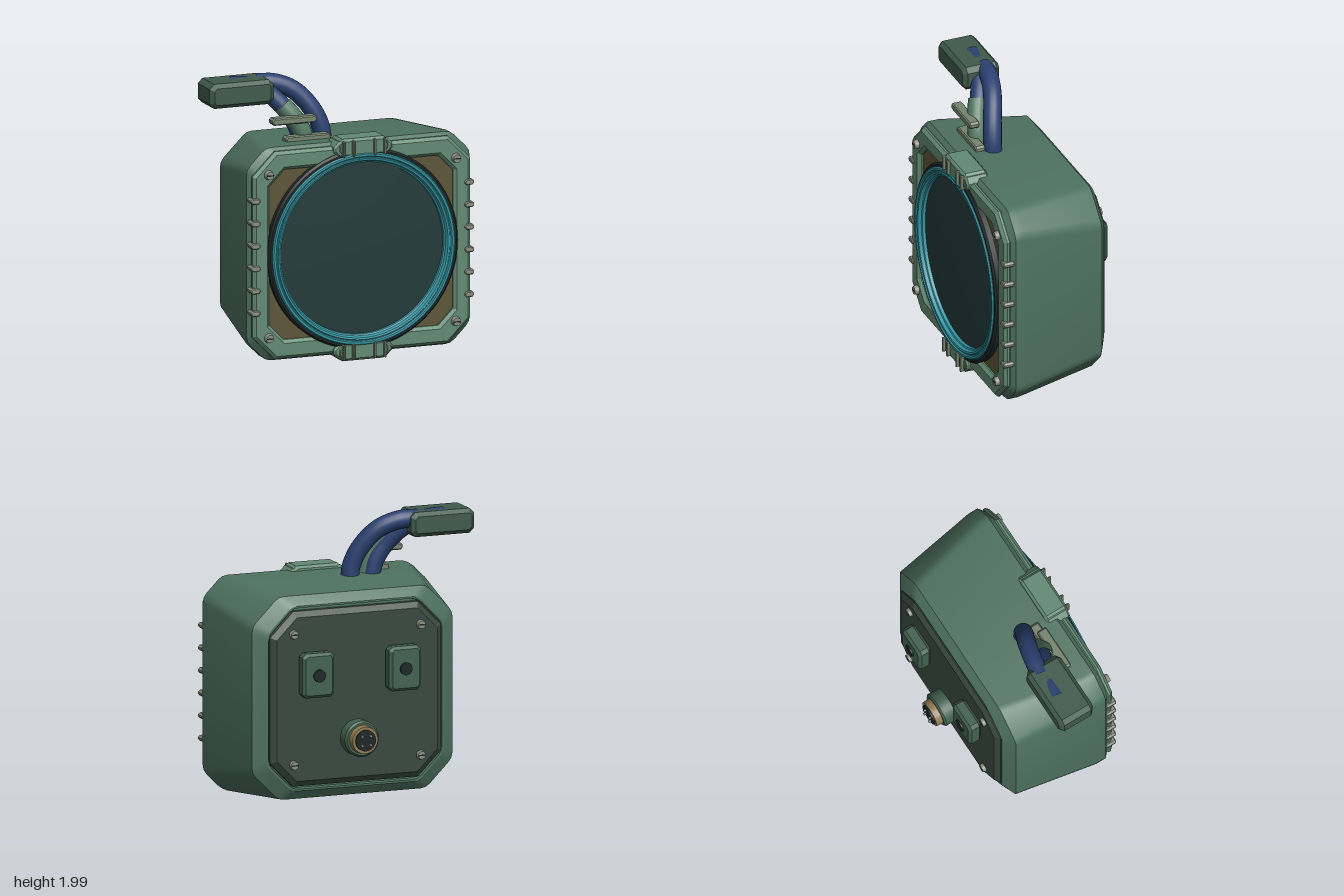
import * as THREE from 'three';
import { toCreasedNormals } from 'three/addons/utils/BufferGeometryUtils.js';

const mat = color => new THREE.MeshStandardMaterial({ color });
const M = {
  body: mat(0x4e7260), frame: mat(0x628a73), panel: mat(0x38483f), plug: mat(0x3f5a4b), socket: mat(0x42614f),
  sleeve: mat(0x557a65), lens: mat(0x223a38), cyan: mat(0x3396a3), black: mat(0x1c2625), brown: mat(0x5c5539),
  blue: mat(0x2a406f), metal: mat(0x8a9080), bar: mat(0x75856f), brass: mat(0x8f7c52),
};

function add(parent, name, geometry, material, x = 0, y = 0, z = 0) {
  const mesh = new THREE.Mesh(geometry, material);
  mesh.name = name;
  mesh.position.set(x, y, z);
  parent.add(mesh);
  return mesh;
}

// Corners of a rectangle with cut corners, half sizes w and h, cut c, counter-clockwise
const octagon = (w, h, c) => [
  [w, -h + c], [w, h - c], [w - c, h], [-w + c, h], [-w, h - c], [-w, -h + c], [-w + c, -h], [w - c, -h],
].map(([x, y]) => new THREE.Vector2(x, y));

// Softens every corner of an outline with three points, starting r away from the corner
const soften = (pts, r) => pts.flatMap((p, i) => {
  const toward = q => p.clone().add(q.clone().sub(p).setLength(r));
  const a = toward(pts[(i + pts.length - 1) % pts.length]), b = toward(pts[(i + 1) % pts.length]);
  return [a, new THREE.QuadraticBezierCurve(a, p, b).getPoint(0.5), b];
});

// Skin through softened octagon sections [w, h, c, z] ordered front to back, closed at the back
function loft(sections) {
  const pos = [];
  const rings = sections.map(([w, h, c, z]) => soften(octagon(w, h, c), 0.04).map(p => [p.x, p.y, z]));
  const n = rings[0].length;
  for (let s = 0; s < rings.length - 1; s++) {
    for (let i = 0; i < n; i++) {
      const j = (i + 1) % n, a = rings[s][i], b = rings[s][j], c = rings[s + 1][j], d = rings[s + 1][i];
      pos.push(...a, ...d, ...c, ...a, ...c, ...b);
    }
  }
  const last = rings[rings.length - 1];
  for (let i = 1; i < n - 1; i++) pos.push(...last[0], ...last[i + 1], ...last[i]);
  const g = new THREE.BufferGeometry();
  g.setAttribute('position', new THREE.Float32BufferAttribute(pos, 3));
  return toCreasedNormals(g, 0.45);
}

// Plate with cut corners and bevelled faces (b wide, t deep), centred; hole = [w, h, c] half sizes
function plate(w, h, d, c, b, { t = b, hole } = {}) {
  const shape = new THREE.Shape(octagon(w / 2 - b, h / 2 - b, c));
  if (hole) shape.holes.push(new THREE.Path(octagon(hole[0] + b, hole[1] + b, hole[2]).reverse()));
  return new THREE.ExtrudeGeometry(shape, {
    depth: d - 2 * t, bevelEnabled: true, bevelSize: b, bevelThickness: t, bevelSegments: 1,
  }).translate(0, 0, -d / 2 + t);
}

// Cylinder lying along z, with front radius r and back radius r2
const disc = (r, d, n = 24, r2 = r) => new THREE.CylinderGeometry(r, r2, d, n).rotateX(Math.PI / 2);

// Profile of [radius, z] points turned around the z axis, with sharp steps
const turned = pts => toCreasedNormals(
  new THREE.LatheGeometry(pts.map(p => new THREE.Vector2(...p)), 96).rotateX(Math.PI / 2), 0.4);

const tube = (pts, r) => new THREE.TubeGeometry(
  new THREE.CatmullRomCurve3(pts.map(p => new THREE.Vector3(...p))), 40, r, 18);

function screw(parent, name, x, y, z, facing) {
  const g = new THREE.Group();
  g.name = name;
  g.position.set(x, y, z);
  if (facing < 0) g.rotation.y = Math.PI;
  add(g, 'screwHead', disc(0.028, 0.04, 20, 0.036), M.metal);
  add(g, 'screwSlot', new THREE.BoxGeometry(0.05, 0.009, 0.004), M.black, 0, 0, 0.02);
  parent.add(g);
}

function buildHousing() {
  const g = new THREE.Group();
  g.name = 'housing';
  g.position.set(0.087, 0.798, 0);

  // Tapered shell with a recessed back
  add(g, 'shell', loft([
    [0.8, 0.722, 0.14, 0.445], [0.838, 0.759, 0.145, 0.405], [0.838, 0.759, 0.145, 0.33], [0.757, 0.72, 0.2, -0.28],
    [0.668, 0.655, 0.19, -0.335], [0.655, 0.642, 0.185, -0.335], [0.65, 0.637, 0.185, -0.3],
  ]), M.body);
  add(g, 'backPanel', plate(1.29, 1.24, 0.1, 0.15, 0.04, { t: 0.03 }), M.panel, 0, 0, -0.318);

  // Front frame and recessed backing
  add(g, 'frontFrame', plate(1.635, 1.48, 0.06, 0.155, 0.022, { hole: [0.69, 0.607, 0.125] }), M.frame, 0, 0, 0.452);
  add(g, 'backingPlate', new THREE.BoxGeometry(1.45, 1.28, 0.02), M.brown, 0, 0, 0.438);

  // Round window
  add(g, 'gasket', turned([
    [0.67, 0.43], [0.71, 0.43], [0.714, 0.49], [0.7, 0.505], [0.67, 0.505],
  ]), M.black);
  add(g, 'bezel', turned([
    [0.685, 0.46], [0.685, 0.508], [0.677, 0.518], [0.662, 0.518], [0.655, 0.508], [0.65, 0.508],
    [0.645, 0.515], [0.632, 0.512], [0.622, 0.49], [0.612, 0.485], [0.61, 0.45],
  ]), M.cyan);
  add(g, 'lens', turned([[0.615, 0.463], [0.4, 0.469], [0.2, 0.473], [0, 0.475]]), M.lens);

  // Screws at the front and back corners
  for (const sx of [-1, 1]) for (const sy of [-1, 1]) {
    screw(g, 'frontScrew', sx * 0.702, sy * 0.582, 0.493, 1);
    screw(g, 'backScrew', sx * 0.48, sy * 0.463, -0.373, -1);
  }

  // Clips wrapping the side edges
  for (const sx of [-1, 1]) for (let i = 0; i < 6; i++) {
    add(g, 'sideClip', plate(0.07, 0.04, 0.08, 0.01, 0.006), M.metal, sx * 0.803, 0.402 - i * 0.16, 0.455);
  }

  // Top and bottom latches with ribs
  for (const sy of [-1, 1]) {
    const latch = new THREE.Group();
    latch.name = sy > 0 ? 'topLatch' : 'bottomLatch';
    if (sy < 0) latch.rotation.z = Math.PI;
    add(latch, 'latchWing', plate(0.44, 0.11, 0.172, 0.03, 0.014), M.frame, 0, 0.72, 0.42);
    add(latch, 'latchBlock', plate(0.39, 0.13, 0.178, 0.03, 0.018), M.frame, 0, 0.727, 0.422);
    for (const x of [-0.155, -0.08, 0.08, 0.155]) {
      add(latch, 'latchRib', plate(0.016, 0.115, 0.03, 0.004, 0.003), M.bar, x, 0.725, 0.519);
    }
    g.add(latch);
  }

  // Rear sockets
  for (const sx of [-1, 1]) {
    add(g, 'rearSocket', plate(0.24, 0.315, 0.1, 0.015, 0.02), M.socket, sx * 0.327, 0.177, -0.416);
    add(g, 'socketHole', disc(0.045, 0.02), M.black, sx * 0.327, 0.177, -0.468);
  }

  // Rear pin connector
  const c = new THREE.Group();
  c.name = 'rearConnector';
  c.position.set(0, -0.298, 0);
  add(c, 'connectorBase', disc(0.128, 0.09, 32), M.socket, 0, 0, -0.407);
  add(c, 'connectorRim', disc(0.128, 0.013, 32, 0.115), M.socket, 0, 0, -0.4585);
  add(c, 'connectorCollar', disc(0.1, 0.05, 32, 0.095), M.brass, 0, 0, -0.488);
  add(c, 'connectorInsert', disc(0.075, 0.02, 32), M.black, 0, 0, -0.515);
  for (const sx of [-1, 1]) for (const sy of [-1, 1]) {
    add(c, 'connectorPin', disc(0.009, 0.03, 10), M.metal, sx * 0.032, sy * 0.032, -0.527);
  }
  g.add(c);
  return g;
}

function buildCables() {
  const g = new THREE.Group();
  g.name = 'cableAssembly';
  // Two cables rising from the top into the plug
  add(g, 'rightCable', tube([
    [-0.075, 1.5, 0.147], [-0.085, 1.6, 0.145], [-0.14, 1.73, 0.122], [-0.255, 1.865, 0.072],
    [-0.39, 1.925, 0.035], [-0.53, 1.933, 0.015],
  ], 0.065), M.blue);
  add(g, 'leftCable', tube([
    [-0.24, 1.5, 0.165], [-0.27, 1.62, 0.16], [-0.34, 1.74, 0.14], [-0.45, 1.86, 0.085],
    [-0.58, 1.92, 0.04], [-0.73, 1.935, 0.02],
  ], 0.063), M.blue);
  // Sleeve lying along the front of the left cable
  add(g, 'cableSleeve', tube([
    [-0.225, 1.52, 0.195], [-0.255, 1.62, 0.19], [-0.31, 1.71, 0.168], [-0.37, 1.785, 0.135],
  ], 0.066), M.sleeve);
  // Flat clamp bars
  add(g, 'upperClampBar', plate(0.335, 0.05, 0.075, 0.01, 0.008), M.bar, -0.335, 1.7, 0.242);
  add(g, 'lowerClampBar', plate(0.335, 0.05, 0.075, 0.01, 0.008), M.bar, -0.233, 1.563, 0.242);
  add(g, 'plug', plate(0.478, 0.175, 0.275, 0.018, 0.028), M.plug, -0.693, 1.898, 0.062);
  return g;
}

export function createModel() {
  const model = new THREE.Group();
  model.name = 'model';
  model.add(buildHousing(), buildCables());
  return model;
}
